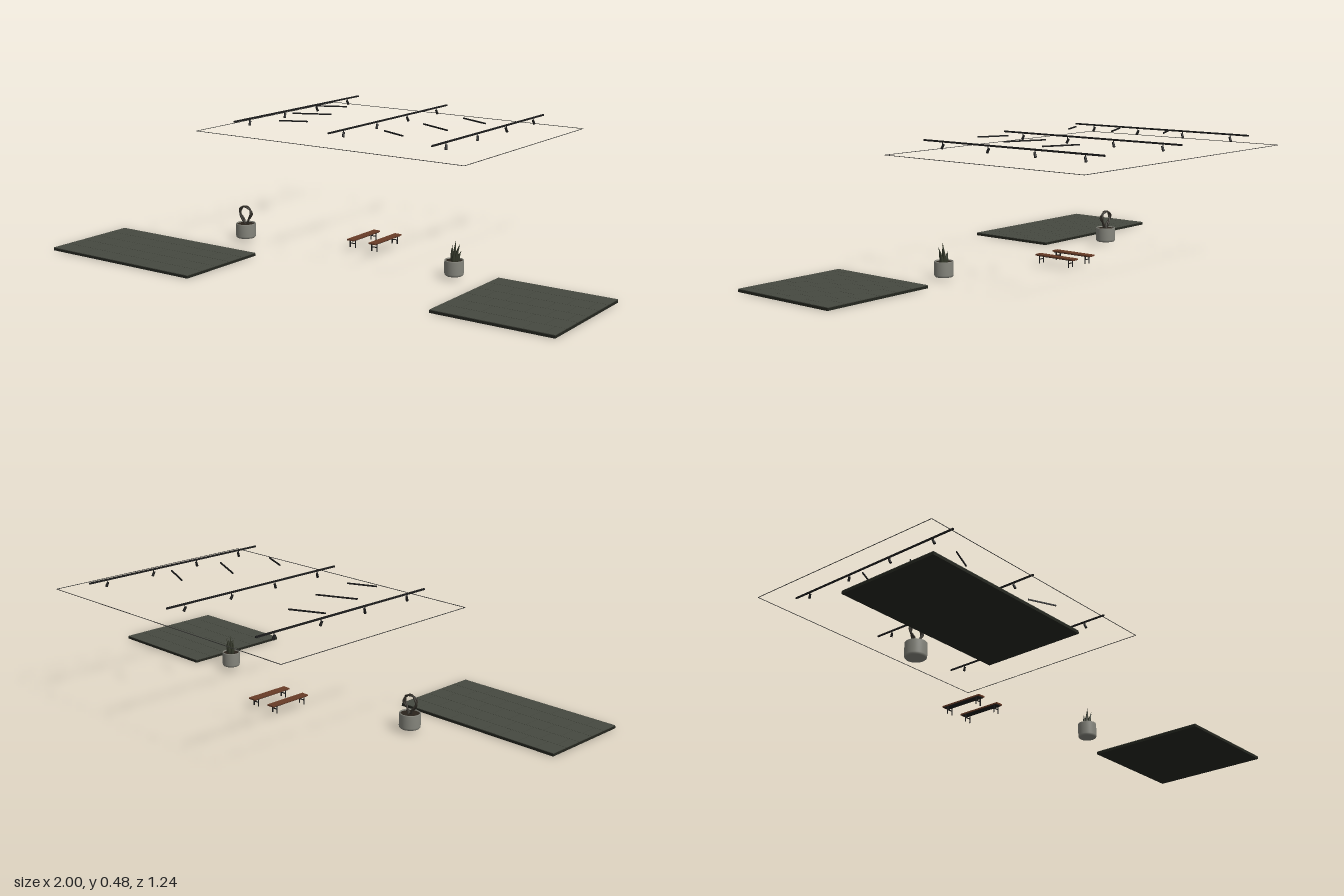
import * as THREE from 'three';

const mat = (name, color, side = THREE.FrontSide) => {
  const m = new THREE.MeshStandardMaterial({ color, side });
  m.name = name;
  return m;
};

export function createModel() {
  const root = new THREE.Group();
  root.name = 'terraceSet';
  const tileMat = mat('slate tile', 0x464940);
  const baseMat = mat('dark base', 0x24261f);
  const metal = mat('black metal', 0x1c1c1c);
  const wood = mat('brown wood', 0x6a3d28);
  const concrete = mat('grey concrete', 0x85857c, THREE.DoubleSide);
  const soilMat = mat('soil', 0x2a231c);
  const branchMat = mat('dark branch', 0x35312a);
  const leafMat = mat('dark leaf', 0x34382a, THREE.DoubleSide);
  const wireMat = mat('thin wire', 0x3a3a38);

  const FLOOR = 0.011;
  const group = (name, parent = root) => {
    const g = new THREE.Group();
    g.name = name;
    parent.add(g);
    return g;
  };
  const add = (parent, name, geo, material, x = 0, y = 0, z = 0) => {
    const m = new THREE.Mesh(geo, material);
    m.name = name;
    m.position.set(x, y, z);
    parent.add(m);
    return m;
  };
  const box = (parent, name, material, w, h, d, x, y, z) =>
    add(parent, name, new THREE.BoxGeometry(w, h, d), material, x, y, z);

  // Paved terraces: dark slab with staggered tiles on top
  const terrace = (name, x0, x1, z0, z1, cols, rows) => {
    const g = group(name);
    const w = x1 - x0, d = z1 - z0, tw = w / cols, td = d / rows, gap = 0.0014;
    box(g, 'slab', baseMat, w, 0.009, d, (x0 + x1) / 2, 0.0045, (z0 + z1) / 2);
    for (let r = 0; r < rows; r++) {
      const shift = r % 2 ? tw / 2 : 0;
      for (let c = 0; c <= cols; c++) {
        const a = Math.max(x0, x0 + c * tw - shift);
        const b = Math.min(x1, x0 + (c + 1) * tw - shift);
        if (b - a < 0.005) continue;
        box(g, 'tile', tileMat, b - a - gap, 0.0025, td - gap, (a + b) / 2, 0.01, z0 + (r + 0.5) * td);
      }
    }
  };
  terrace('rightTerrace', -1, -0.335, 0.255, 0.622, 9, 5);
  terrace('leftTerrace', 0.556, 1, 0.032, 0.475, 6, 6);

  // Ceiling rails with tilted spotlights
  for (const x of [-0.466, -0.036, 0.391]) {
    const g = group('lightRail');
    box(g, 'rail', metal, 0.005, 0.006, 0.79, x, 0.477, -0.19);
    [0.115, -0.095, -0.3, -0.508].forEach((z, i) => {
      const tilt = i < 2 ? -0.4 : 0.4;
      box(g, 'spotStem', metal, 0.002, 0.008, 0.002, x, 0.471, z);
      const spot = add(g, 'spotlight', new THREE.CylinderGeometry(0.0042, 0.0048, 0.018, 14), metal, x, 0.46, z);
      spot.rotation.set(tilt, 0, 0.15);
    });
  }

  // Slanted linear lamps: end points in x and z
  const lamps = [
    [-0.443, -0.256, -0.326, -0.31], [-0.4, -0.06, -0.264, -0.122], [-0.337, 0.103, -0.237, 0.06],
    [0.193, -0.33, 0.32, -0.272], [0.139, -0.137, 0.283, -0.07], [0.106, 0.064, 0.214, 0.112],
  ];
  for (const [xa, za, xb, zb] of lamps) {
    const m = box(root, 'linearLamp', metal, Math.hypot(xb - xa, zb - za), 0.005, 0.004,
      (xa + xb) / 2, 0.48, (za + zb) / 2);
    m.rotation.y = -Math.atan2(zb - za, xb - xa);
  }

  // Thin rectangular wire frame below the rails
  const frame = group('wireFrame');
  const t = 0.0018;
  for (const z of [0.245, -0.62]) box(frame, 'wire', wireMat, 1.156, t, t, -0.037, 0.434, z);
  for (const x of [-0.615, 0.541]) box(frame, 'wire', wireMat, t, t, 0.865, x, 0.434, -0.1875);

  // Slatted benches on metal trestles
  for (const x of [-0.087, 0.01]) {
    const g = group('bench');
    g.position.set(x, 0, -0.0825);
    for (const i of [-1, 0, 1]) box(g, 'slat', wood, 0.0088, 0.005, 0.175, i * 0.0102, 0.0425, 0);
    box(g, 'underFrame', metal, 0.025, 0.002, 0.165, 0, 0.039, 0);
    for (const z of [0.071, -0.064]) {
      for (const s of [-1, 1]) box(g, 'leg', metal, 0.003, 0.028, 0.003, s * 0.0115, FLOOR + 0.014, z);
      box(g, 'crossBar', metal, 0.023, 0.003, 0.003, 0, 0.027, z);
    }
  }

  // Round pots with soil
  const pot = (name, x, r) => {
    const g = group(name);
    g.position.set(x, FLOOR, 0.092);
    const profile = [[0, 0], [r - 0.004, 0], [r - 0.001, 0.003], [r, 0.008], [r, 0.053],
      [r - 0.001, 0.055], [r - 0.004, 0.055], [r - 0.004, 0.048]];
    add(g, 'pot', new THREE.LatheGeometry(profile.map(p => new THREE.Vector2(...p)), 36), concrete);
    add(g, 'soil', new THREE.CylinderGeometry(r - 0.004, r - 0.004, 0.004, 36), soilMat, 0, 0.049, 0);
    return g;
  };

  // Twisted branches bent into a teardrop loop
  const rightPot = pot('rightPlanter', -0.515, 0.038);
  const loop = [[-0.003, 0.048], [-0.012, 0.068], [-0.026, 0.088], [-0.025, 0.106], [-0.012, 0.117],
    [0.006, 0.118], [0.022, 0.108], [0.027, 0.092], [0.014, 0.07], [0.004, 0.048]];
  for (const s of [0, Math.PI]) {
    const pts = loop.map(([x, y], i) =>
      new THREE.Vector3(x + Math.cos(i * 1.6 + s) * 0.0015, y, Math.sin(i * 1.6 + s) * 0.005));
    add(rightPot, 'branch', new THREE.TubeGeometry(new THREE.CatmullRomCurve3(pts), 60, 0.0035, 8), branchMat);
  }

  // Upright pointed leaves
  const leftPot = pot('leftPlanter', 0.415, 0.034);
  const leaves = [ // foot x, foot z, tip x, tip z, height
    [0, 0, 0.006, 0, 0.077], [0.008, 0.004, 0.025, 0.003, 0.06], [-0.006, 0.003, -0.004, 0.008, 0.062],
    [0.003, -0.007, 0.018, -0.01, 0.066], [-0.01, -0.003, -0.016, -0.004, 0.042],
    [0.002, 0.009, 0.012, 0.014, 0.05], [0.012, -0.004, 0.026, -0.006, 0.042],
  ];
  for (const [x, z, tx, tz, h] of leaves) {
    const geo = new THREE.ConeGeometry(0.0075, h, 8, 6);
    geo.translate(0, h / 2, 0);
    const p = geo.attributes.position;
    for (let i = 0; i < p.count; i++) {
      const k = p.getY(i) / h;
      const swell = 1 + 0.6 * Math.sin(k * Math.PI);
      p.setXYZ(i, p.getX(i) * swell * 0.85 + x + (tx - x) * k * k, p.getY(i),
        p.getZ(i) * swell * 0.7 + z + (tz - z) * k * k);
    }
    geo.computeVertexNormals();
    add(leftPot, 'leaf', geo, leafMat, 0, 0.048, 0);
  }
  return root;
}
